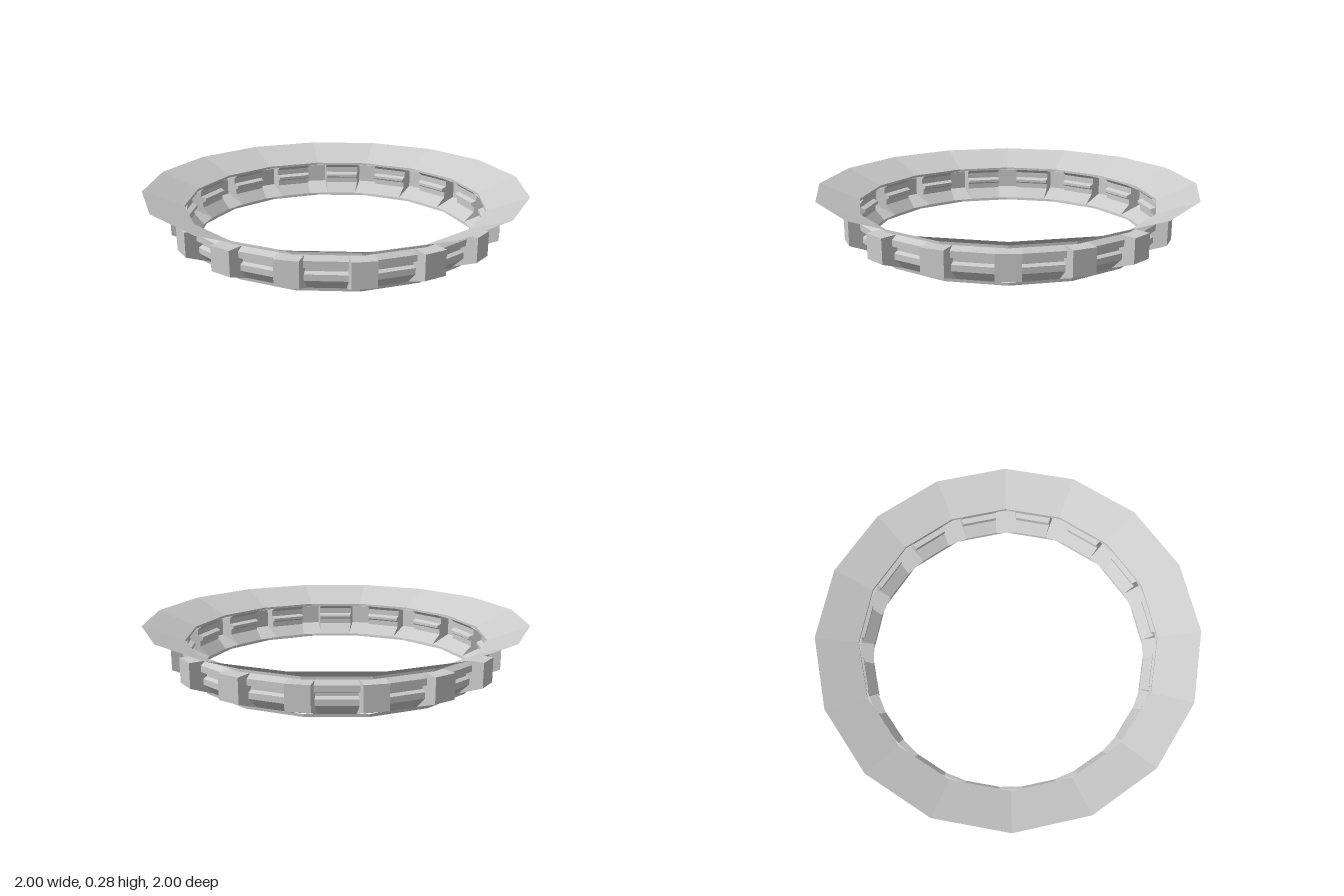
import * as THREE from 'three';

const SIDES = 16;
const STEP = (Math.PI * 2) / SIDES;
const HALF = 0.058; // half width of a block
const INSET = HALF * Math.tan(STEP / 2); // chord inset where a panel meets a block

// Ridged wall section [corner radius, y], from top to bottom
const WALL = [
  [0.79, 0.187], [0.815, 0.167], [0.815, 0.135], [0.787, 0.125],
  [0.787, 0.11], [0.805, 0.1], [0.805, 0.07], [0.752, 0.015],
];
// Block section [z, y], from top to bottom
const BLOCK = [[0.79 - INSET, 0.187], [0.862, 0.187], [0.862, 0.062], [0.752 - INSET, 0.015]];

// Flat-faced strip between two rows of points, left row and right row
function strip(left, right) {
  const pos = [];
  for (let i = 0; i < left.length - 1; i++) {
    for (const p of [left[i], left[i + 1], right[i], right[i], left[i + 1], right[i + 1]]) {
      pos.push(p.x, p.y, p.z);
    }
  }
  const g = new THREE.BufferGeometry();
  g.setAttribute('position', new THREE.Float32BufferAttribute(pos, 3));
  g.computeVertexNormals();
  return g;
}

export function createModel() {
  const model = new THREE.Group();
  model.name = 'flaredRing';
  const mat = new THREE.MeshStandardMaterial({
    color: 0xcccccc, flatShading: true, side: THREE.DoubleSide,
  });
  const add = (parent, name, geometry) => {
    const mesh = new THREE.Mesh(geometry, mat);
    mesh.name = name;
    parent.add(mesh);
    return mesh;
  };
  const lathe = (pts) =>
    new THREE.LatheGeometry(pts.map(([r, y]) => new THREE.Vector2(r, y)), SIDES);

  // Wide sloping rim, its collar, and the foot band
  add(model, 'flaredRim', lathe([[0.79, 0.2], [1, 0.285]]));
  add(model, 'collar', lathe([[0.79, 0.187], [0.79, 0.2]]));
  add(model, 'footBand', lathe([[0.75, 0], [0.752, 0.015]]));

  // Ridged panel reaching from one block to the next
  const up = new THREE.Vector3(0, 1, 0);
  const panelLeft = WALL.map(([r, y]) => new THREE.Vector3(HALF, y, r - INSET));
  const panelRight = panelLeft.map((p) => new THREE.Vector3(-p.x, p.y, p.z).applyAxisAngle(up, STEP));
  const panelGeo = strip(panelLeft, panelRight);

  // Hollow block, open to the inside: shell and two cheeks
  const shellGeo = strip(
    BLOCK.map(([z, y]) => new THREE.Vector3(-HALF, y, z)),
    BLOCK.map(([z, y]) => new THREE.Vector3(HALF, y, z)),
  );
  const outline = [...BLOCK, ...WALL.slice(1, -1).reverse().map(([r, y]) => [r - INSET, y])];
  const cheekGeo = new THREE.ShapeGeometry(
    new THREE.Shape(outline.map(([z, y]) => new THREE.Vector2(-z, y))),
  ).rotateY(Math.PI / 2); // shape -x becomes +z

  for (let i = 0; i < SIDES; i++) {
    const bay = new THREE.Group();
    bay.name = 'bay';
    bay.rotation.y = i * STEP;
    add(bay, 'ridgedPanel', panelGeo);
    add(bay, 'blockShell', shellGeo);
    for (const s of [-1, 1]) add(bay, 'blockCheek', cheekGeo).position.x = s * HALF;
    model.add(bay);
  }
  return model;
}
